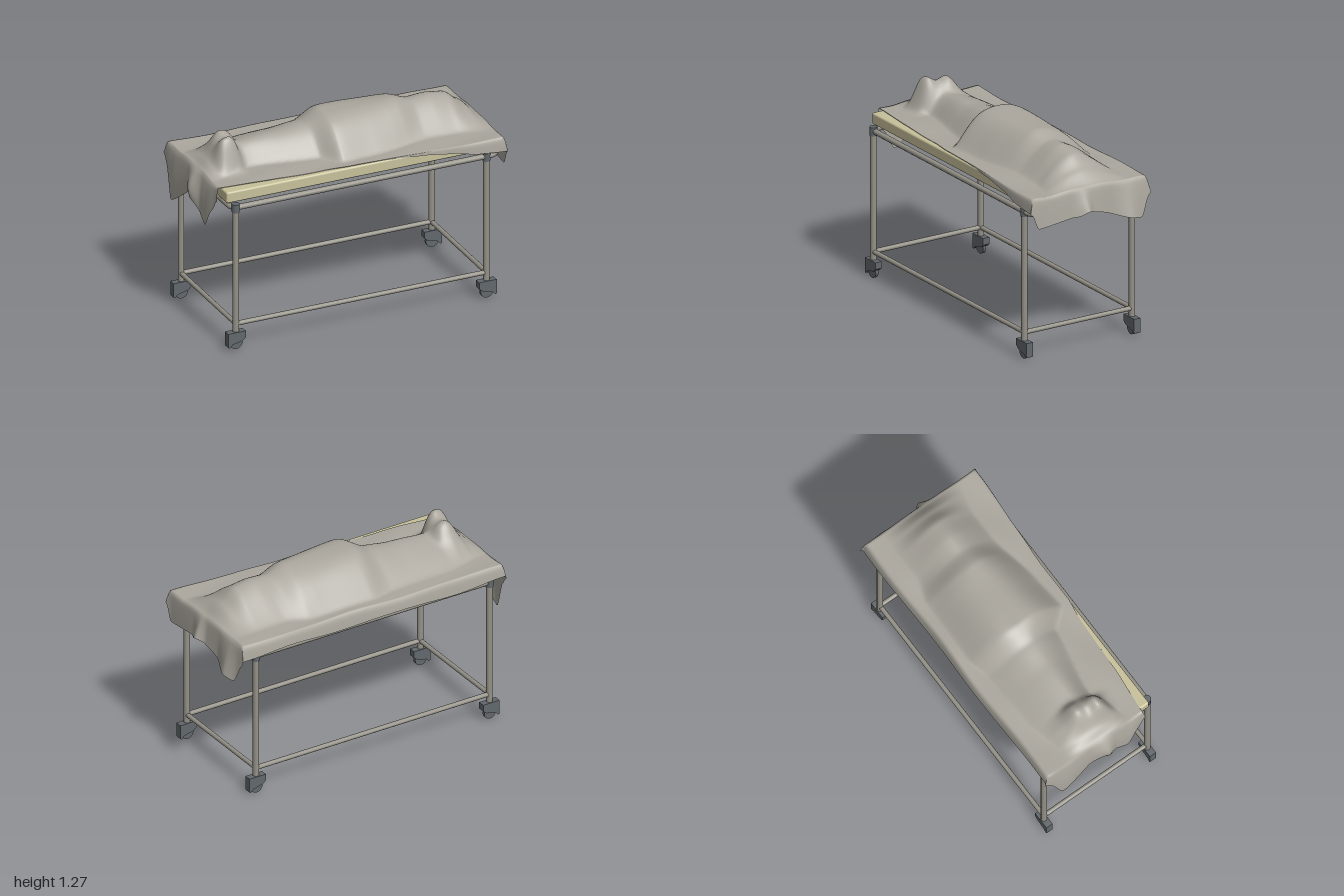
import * as THREE from 'three';
import { RoundedBoxGeometry } from 'three/addons/geometries/RoundedBoxGeometry.js';

const mat = (name, color, side = THREE.FrontSide) => {
  const m = new THREE.MeshStandardMaterial({ color, side });
  m.name = name;
  return m;
};

// Smooth interpolation through [position, value] pairs
function lookup(table, x) {
  if (x <= table[0][0]) return table[0][1];
  for (let i = 1; i < table.length; i++) {
    const [x0, a] = table[i - 1], [x1, b] = table[i];
    if (x <= x1) {
      const t = (x - x0) / (x1 - x0);
      return a + (b - a) * (0.5 * t + 0.5 * t * t * (3 - 2 * t));
    }
  }
  return table[table.length - 1][1];
}

// Covered figure: ridge height, ridge line, half-widths and roundness along x
const RIDGE = [[-0.93, 0.01], [-0.87, 0.06], [-0.81, 0.13], [-0.75, 0.15], [-0.66, 0.115], [-0.4, 0.13], [-0.22, 0.155],
  [-0.09, 0.215], [0.38, 0.212], [0.5, 0.17], [0.62, 0.18], [0.74, 0.165], [0.84, 0.09], [0.93, 0.01]];
const CENTRE = [[-0.8, 0.01], [-0.6, -0.01], [-0.2, 0], [0, 0]];
const WIDTH_FRONT = [[-0.9, 0.2], [-0.78, 0.17], [-0.65, 0.13], [-0.2, 0.2], [-0.09, 0.32], [0.15, 0.3], [0.5, 0.24], [0.7, 0.24], [0.9, 0.28]];
const WIDTH_BACK = [[-0.9, 0.25], [-0.65, 0.29], [-0.2, 0.32], [-0.05, 0.35], [0.4, 0.34], [0.55, 0.29], [0.9, 0.3]];
const ROUNDNESS = [[-0.65, 1.9], [-0.2, 2], [-0.05, 2.5], [0.3, 2.3], [0.5, 1.8], [0.9, 1.7]];
// Hem of the cloth on each side, and how far the ends billow outward
const FRONT_EDGE = [[-0.93, 0.31], [-0.6, 0.34], [-0.25, 0.355], [-0.08, 0.378], [0.2, 0.378], [0.45, 0.393], [0.85, 0.415]];
const FRONT_DROP = [[0.15, 0.003], [0.4, 0.02], [0.6, 0.04], [0.78, 0.075], [0.93, 0.09]];
const FOOT_HEM = [[-0.43, 0.98], [-0.39, 0.92], [-0.31, 0.72], [-0.01, 0.9], [0.18, 0.76], [0.26, 0.89], [0.33, 1.0]];
const HEAD_HEM = [[-0.43, 0.96], [-0.36, 0.81], [-0.27, 0.83], [-0.05, 0.9], [0.04, 0.93], [0.1, 0.9], [0.38, 0.87], [0.43, 0.98]];
const FOOT_OUT = [[-0.42, 0], [-0.28, 0.02], [-0.1, 0.01], [0.02, 0.053], [0.1, 0.015], [0.2, 0.018], [0.31, 0]];
const HEAD_OUT = [[-0.42, 0.005], [-0.28, 0.053], [-0.15, 0.008], [-0.02, 0.015], [0.04, 0.053], [0.13, 0.01], [0.4, 0.005]];

const bump = (x, z, cx, cz, sx, sz) => Math.exp(-(((x - cx) / sx) ** 4) - ((z - cz) / sz) ** 2);

function clothHeight(x, z) {
  const d = z - lookup(CENTRE, x);
  const r = Math.min(1, Math.abs(d) / lookup(d > 0 ? WIDTH_FRONT : WIDTH_BACK, x));
  let y = 1.06 + lookup(RIDGE, x) * (1 - r ** lookup(ROUNDNESS, x)) ** 1.3;
  y += 0.105 * bump(x, z, -0.765, 0.095, 0.075, 0.06); // left foot
  y += 0.06 * bump(x, z, -0.74, -0.06, 0.07, 0.06); // right foot
  return y + 0.004 * Math.sin(9 * x + 14 * z) * Math.sin(11 * z - 3 * x);
}

// u and v run over the top in -1..1; beyond that the cloth hangs down
function clothPoint(u, v) {
  const cu = THREE.MathUtils.clamp(u, -1, 1), cv = THREE.MathUtils.clamp(v, -1, 1);
  const ku = (Math.abs(u) - Math.abs(cu)) / 0.25, kv = (Math.abs(v) - Math.abs(cv)) / 0.2;
  let x = cu * 0.935;
  const front = lookup(FRONT_EDGE, x), back = -0.405 + 0.006 * Math.sin(7 * x);
  let z = back + (front - back) * (cv + 1) / 2;
  let y = clothHeight(x, z);
  const frontDrop = lookup(FRONT_DROP, x);
  const drop = kv * (v > 0 ? frontDrop : 0.085 + 0.01 * Math.sin(8 * x));
  z += Math.sign(v) * Math.sqrt(kv) * (v > 0 ? 0.16 * frontDrop : 0.02);
  if (ku > 0) {
    const hem = lookup(u > 0 ? HEAD_HEM : FOOT_HEM, z);
    const out = u > 0 ? lookup(HEAD_OUT, z) * ku : lookup(FOOT_OUT, z) * Math.sin(2.2 * ku);
    x += Math.sign(u) * (0.014 * Math.sqrt(ku) + out);
    z += ku * kv * Math.sign(v) * 0.012;
    y = Math.min(y - drop, y + (hem - y) * ku);
  } else y -= drop;
  return [x, y, z];
}

function clothGeometry() {
  const us = [], vs = [];
  for (let i = 0; i <= 8; i++) us.push(-1.25 + 0.25 * i / 8);
  for (let i = 1; i < 130; i++) us.push(-1 + 2 * i / 130);
  for (let i = 0; i <= 8; i++) us.push(1 + 0.25 * i / 8);
  for (let i = 0; i <= 5; i++) vs.push(-1.2 + 0.2 * i / 5);
  for (let i = 1; i < 64; i++) vs.push(-1 + 2 * i / 64);
  for (let i = 0; i <= 5; i++) vs.push(1 + 0.2 * i / 5);
  const pos = [], idx = [], n = vs.length;
  us.forEach((u, i) => vs.forEach((v, j) => {
    pos.push(...clothPoint(u, v));
    if (i && j) {
      const d = i * n + j, c = d - 1, b = d - n, a = b - 1;
      idx.push(a, b, c, b, d, c);
    }
  }));
  const g = new THREE.BufferGeometry();
  g.setAttribute('position', new THREE.Float32BufferAttribute(pos, 3));
  g.setIndex(idx);
  g.computeVertexNormals();
  return g;
}

export function createModel() {
  const model = new THREE.Group();
  model.name = 'coveredTrolley';
  const cloth = mat('greyCloth', 0xaba79e, THREE.DoubleSide);
  const cream = mat('creamPad', 0xc7c19b);
  const metal = mat('steel', 0x959288);
  const dark = mat('darkPlastic', 0x62686d);

  const add = (name, geometry, material, x = 0, y = 0, z = 0, parent = model) => {
    const m = new THREE.Mesh(geometry, material);
    m.name = name;
    m.position.set(x, y, z);
    parent.add(m);
    return m;
  };

  const LEG_X = [-0.86, 0.825], LEG_Z = [-0.38, 0.4];
  const midX = (LEG_X[0] + LEG_X[1]) / 2, midZ = (LEG_Z[0] + LEG_Z[1]) / 2;
  const lenX = LEG_X[1] - LEG_X[0], lenZ = LEG_Z[1] - LEG_Z[0];

  // Pad
  add('pad', new RoundedBoxGeometry(1.82, 0.074, 0.75, 2, 0.012), cream, 0, 1.015, 0.005);

  // Top frame: one tube bent round the corners
  const x0 = -0.885, x1 = 0.905, [z0, z1] = LEG_Z, r = 0.06;
  const frame = new THREE.CurvePath();
  const corners = [[x0, z0, 1, 0, 0, 1], [x0, z1, 0, -1, 1, 0], [x1, z1, -1, 0, 0, -1], [x1, z0, 0, 1, -1, 0]];
  const P = (x, z) => new THREE.Vector3(x, 0, z);
  corners.forEach(([x, z, ax, az, bx, bz], i) => {
    const [nx, nz, cx, cz] = corners[(i + 1) % 4];
    const end = P(x + bx * r, z + bz * r);
    frame.add(new THREE.QuadraticBezierCurve3(P(x + ax * r, z + az * r), P(x, z), end));
    frame.add(new THREE.LineCurve3(end, P(nx + cx * r, nz + cz * r)));
  });
  add('topFrame', new THREE.TubeGeometry(frame, 240, 0.018, 12, true), metal, 0, 0.953, 0);

  // Lower rails
  for (const z of LEG_Z)
    add('longRail', new THREE.CylinderGeometry(0.015, 0.015, lenX, 12), metal, midX, 0.17, z).rotation.z = Math.PI / 2;
  for (const x of LEG_X)
    add('crossRail', new THREE.CylinderGeometry(0.015, 0.015, lenZ, 12), metal, x, 0.17, midZ).rotation.x = Math.PI / 2;

  // Legs with joints and casters
  const housing = new THREE.Shape([[-0.058, 0.118], [-0.058, 0.075], [-0.035, 0.055], [0.03, 0.04], [0.05, 0.02],
    [0.06, 0.025], [0.06, 0.118]].map(p => new THREE.Vector2(...p)));
  const housingGeo = new THREE.ExtrudeGeometry(housing, { depth: 0.046, bevelEnabled: false }).translate(0, 0, -0.023);
  for (const x of LEG_X) for (const z of LEG_Z) {
    add('leg', new THREE.CylinderGeometry(0.02, 0.02, 0.84, 14), metal, x, 0.54, z);
    add('legJoint', new THREE.CylinderGeometry(0.025, 0.025, 0.055, 14), dark, x, 0.952, z);
    const caster = new THREE.Group();
    caster.name = 'caster';
    caster.position.set(x, 0, z);
    if (x < 0) caster.rotation.y = Math.PI;
    add('casterHousing', housingGeo, dark, 0, 0, 0, caster);
    add('casterWheel', new THREE.CylinderGeometry(0.042, 0.042, 0.02, 20), dark, 0, 0.044, 0, caster).rotation.x = Math.PI / 2;
    model.add(caster);
  }

  // Cloth draped over a lying figure
  add('drapedCloth', clothGeometry(), cloth);
  return model;
}
